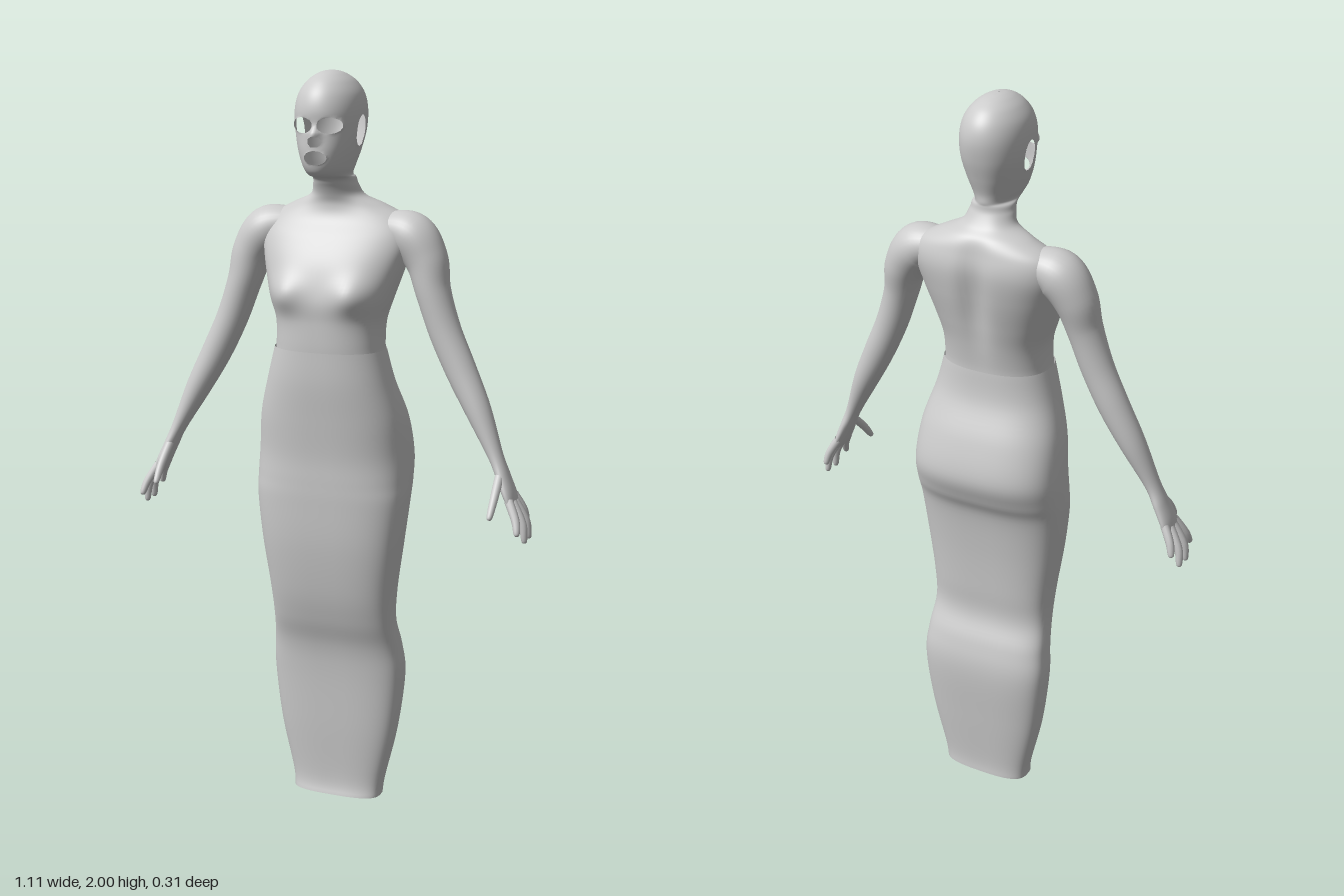
import * as THREE from 'three';

const material = new THREE.MeshStandardMaterial({ color: 0xcccccc, side: THREE.DoubleSide });

// Smooth interpolation of each column of a table; t runs over the rows
function sampleRows(rows, t) {
  const i = Math.min(Math.floor(t), rows.length - 2), f = t - i;
  const at = (k) => rows[Math.max(0, Math.min(rows.length - 1, k))];
  return rows[0].map((_, c) => {
    const [a, b, d, e] = [at(i - 1)[c], at(i)[c], at(i + 1)[c], at(i + 2)[c]];
    const m0 = (d - a) / 2, m1 = (e - b) / 2;
    return b + f * (m0 + f * (3 * (d - b) - 2 * m0 - m1 + f * (2 * (b - d) + m0 + m1)));
  });
}

// Skin over closed rings; keep(vertexIndex) can leave openings
function skin(name, rings, keep = () => true) {
  const n = rings[0].length, index = [];
  const tri = (...v) => { if (v.every(keep)) index.push(...v); };
  for (let i = 0; i < rings.length - 1; i++) {
    for (let j = 0; j < n; j++) {
      const k = (j + 1) % n;
      const a = i * n + j, b = i * n + k, c = a + n, d = b + n;
      tri(a, c, b);
      tri(b, c, d);
    }
  }
  const geo = new THREE.BufferGeometry().setFromPoints(rings.flat());
  geo.setIndex(index);
  geo.computeVertexNormals();
  const mesh = new THREE.Mesh(geo, material);
  mesh.name = name;
  return mesh;
}

// Horizontal sections: [y, half width, front z, back z, squareness]
function bodyRings(rows, steps, cols) {
  const rings = [];
  for (let i = 0; i <= (rows.length - 1) * steps; i++) {
    const [y, w, zf, zb, p] = sampleRows(rows, i / steps);
    const pow = (v) => Math.sign(v) * Math.abs(v) ** (2 / p);
    rings.push(Array.from({ length: cols }, (_, j) => {
      const a = (j / cols) * Math.PI * 2;
      return new THREE.Vector3(w * pow(Math.cos(a)), y, (zf + zb) / 2 + ((zf - zb) / 2) * pow(Math.sin(a)));
    }));
  }
  return rings;
}

// Limb along a path: [x, y, z, thickness radius, breadth radius]
function limb(name, rows, steps, cols) {
  const rings = [], last = rows.length - 1;
  const pos = (t) => new THREE.Vector3(...sampleRows(rows, Math.max(0, Math.min(last, t))).slice(0, 3));
  for (let i = 0; i <= last * steps; i++) {
    const t = i / steps, [, , , ra, rb] = sampleRows(rows, t);
    const dir = pos(t + 0.05).sub(pos(t - 0.05)).normalize();
    const u = dir.clone().cross(new THREE.Vector3(0, 0, 1)).normalize();
    const v = u.clone().cross(dir);
    rings.push(Array.from({ length: cols }, (_, j) => {
      const a = (j / cols) * Math.PI * 2;
      return pos(t).addScaledVector(u, ra * Math.cos(a)).addScaledVector(v, rb * Math.sin(a));
    }));
  }
  return skin(name, rings);
}

const bell = (v, centre, width) => Math.exp(-(((v - centre) / width) ** 2));

// Torso, neck and head in one skin, with openings for the face and ears
function createUpperBody() {
  const rings = bodyRings([
    [1.26, 0.149, 0.128, -0.08, 2.4],
    [1.3, 0.145, 0.13, -0.082, 2.4],
    [1.36, 0.147, 0.13, -0.092, 2.4],
    [1.42, 0.165, 0.13, -0.105, 2.4],
    [1.5, 0.19, 0.108, -0.122, 2.4],
    [1.57, 0.205, 0.07, -0.13, 2.4],
    [1.62, 0.19, 0.035, -0.122, 2.3],
    [1.655, 0.13, 0.025, -0.11, 2],
    [1.68, 0.075, 0.03, -0.085, 2],
    [1.71, 0.06, 0.045, -0.066, 2],
    [1.728, 0.056, 0.062, -0.062, 2],
    [1.738, 0.052, 0.112, -0.063, 2],
    [1.76, 0.061, 0.131, -0.065, 2.1],
    [1.8, 0.074, 0.136, -0.078, 2.2],
    [1.85, 0.085, 0.134, -0.093, 2.2],
    [1.9, 0.088, 0.138, -0.1, 2.1],
    [1.94, 0.081, 0.128, -0.092, 2],
    [1.97, 0.062, 0.105, -0.07, 2],
    [1.988, 0.04, 0.078, -0.04, 2],
    [1.997, 0.02, 0.05, -0.01, 2],
    [2, 0.001, 0.021, 0.019, 2],
  ], 8, 96);

  // Openings as ellipses: [centre, y, radius, y radius], on the face (x) or the sides (z)
  const face = [[0.037, 1.866, 0.031, 0.02], [-0.037, 1.866, 0.031, 0.02],
    [0, 1.826, 0.02, 0.013], [0, 1.785, 0.031, 0.018]];
  const sides = [[0.025, 1.85, 0.027, 0.04]];
  const removed = new Set();

  rings.flat().forEach((v, id) => {
    if (v.z > 0) {
      v.z += 0.024 * bell(Math.abs(v.x), 0.095, 0.05) * bell(v.y, 1.435, 0.045); // breasts
      v.z += 0.018 * bell(v.x, 0, 0.013) * bell(v.y, 1.843, 0.016); // nose
    } else {
      v.z += 0.02 * bell(v.x, 0, 0.035) * bell(v.y, 1.5, 0.13); // spine groove
    }
    const cut = (axis, holes) => holes.forEach(([c, cy, r, ry]) => {
      const d = Math.hypot((v[axis] - c) / r, (v.y - cy) / ry);
      if (d < 0.72) removed.add(id);
      else if (d < 1) { // pull the rim onto the ellipse
        v[axis] = c + (v[axis] - c) / d;
        v.y = cy + (v.y - cy) / d;
      }
    });
    if (v.z > 0.07) cut('x', face);
    else if (Math.abs(v.x) > 0.05) cut('z', sides);
  });
  return skin('torsoAndHead', rings, (id) => !removed.has(id));
}

// Long closed skirt, open at the hem
function createSkirt() {
  return skin('skirt', bodyRings([
    [0, 0.127, 0.022, -0.09, 3],
    [0.05, 0.134, 0.014, -0.09, 3],
    [0.2, 0.168, 0.022, -0.105, 3],
    [0.36, 0.187, 0.03, -0.118, 3],
    [0.45, 0.181, 0.042, -0.105, 3],
    [0.53, 0.173, 0.068, -0.077, 3],
    [0.62, 0.178, 0.09, -0.08, 3],
    [0.75, 0.196, 0.108, -0.09, 2.9],
    [0.87, 0.21, 0.114, -0.108, 2.8],
    [0.93, 0.212, 0.115, -0.135, 2.7],
    [1, 0.21, 0.116, -0.155, 2.6],
    [1.1, 0.2, 0.125, -0.132, 2.5],
    [1.2, 0.172, 0.134, -0.092, 2.4],
    [1.285, 0.149, 0.135, -0.083, 2.4],
  ], 6, 64));
}

// Arm with palm, four fingers and a thumb, on the +x side
function createArm() {
  const arm = new THREE.Group();
  arm.add(limb('armAndPalm', [
    [0.13, 1.6, -0.04, 0.04, 0.05],
    [0.2, 1.58, -0.035, 0.062, 0.066],
    [0.245, 1.52, -0.03, 0.056, 0.06],
    [0.268, 1.44, -0.02, 0.046, 0.05],
    [0.303, 1.34, -0.015, 0.043, 0.043],
    [0.35, 1.24, -0.01, 0.041, 0.04],
    [0.402, 1.14, 0, 0.034, 0.036],
    [0.455, 1.03, 0.015, 0.02, 0.026],
    [0.48, 0.975, 0.02, 0.017, 0.034],
    [0.5, 0.93, 0.025, 0.015, 0.041],
    [0.512, 0.9, 0.026, 0.009, 0.037],
    [0.515, 0.894, 0.026, 0.001, 0.02],
  ], 8, 32));

  // Each digit: base, knuckle, tip
  const digits = {
    indexFinger: [[0.505, 0.92, 0.053], [0.53, 0.875, 0.073], [0.54, 0.838, 0.09]],
    middleFinger: [[0.51, 0.915, 0.036], [0.54, 0.86, 0.042], [0.548, 0.808, 0.044]],
    ringFinger: [[0.51, 0.915, 0.016], [0.54, 0.86, 0.008], [0.548, 0.81, 0.002]],
    littleFinger: [[0.503, 0.925, -0.003], [0.525, 0.885, -0.016], [0.535, 0.848, -0.025]],
    thumb: [[0.475, 0.985, 0.035], [0.477, 0.935, 0.088], [0.476, 0.885, 0.13]],
  };
  for (const [name, [base, knuckle, tip]] of Object.entries(digits)) {
    const near = tip.map((v, i) => v + (knuckle[i] - v) * 0.15);
    arm.add(limb(name, [[...base, 0.012, 0.012], [...knuckle, 0.011, 0.011],
      [...near, 0.008, 0.008], [...tip, 0.001, 0.001]], 5, 12));
  }
  return arm;
}

export function createModel() {
  const model = new THREE.Group();
  model.name = 'mannequin';
  const leftArm = createArm();
  leftArm.name = 'leftArm';
  const rightArm = createArm();
  rightArm.name = 'rightArm';
  rightArm.scale.x = -1;
  model.add(createUpperBody(), createSkirt(), leftArm, rightArm);
  return model;
}
